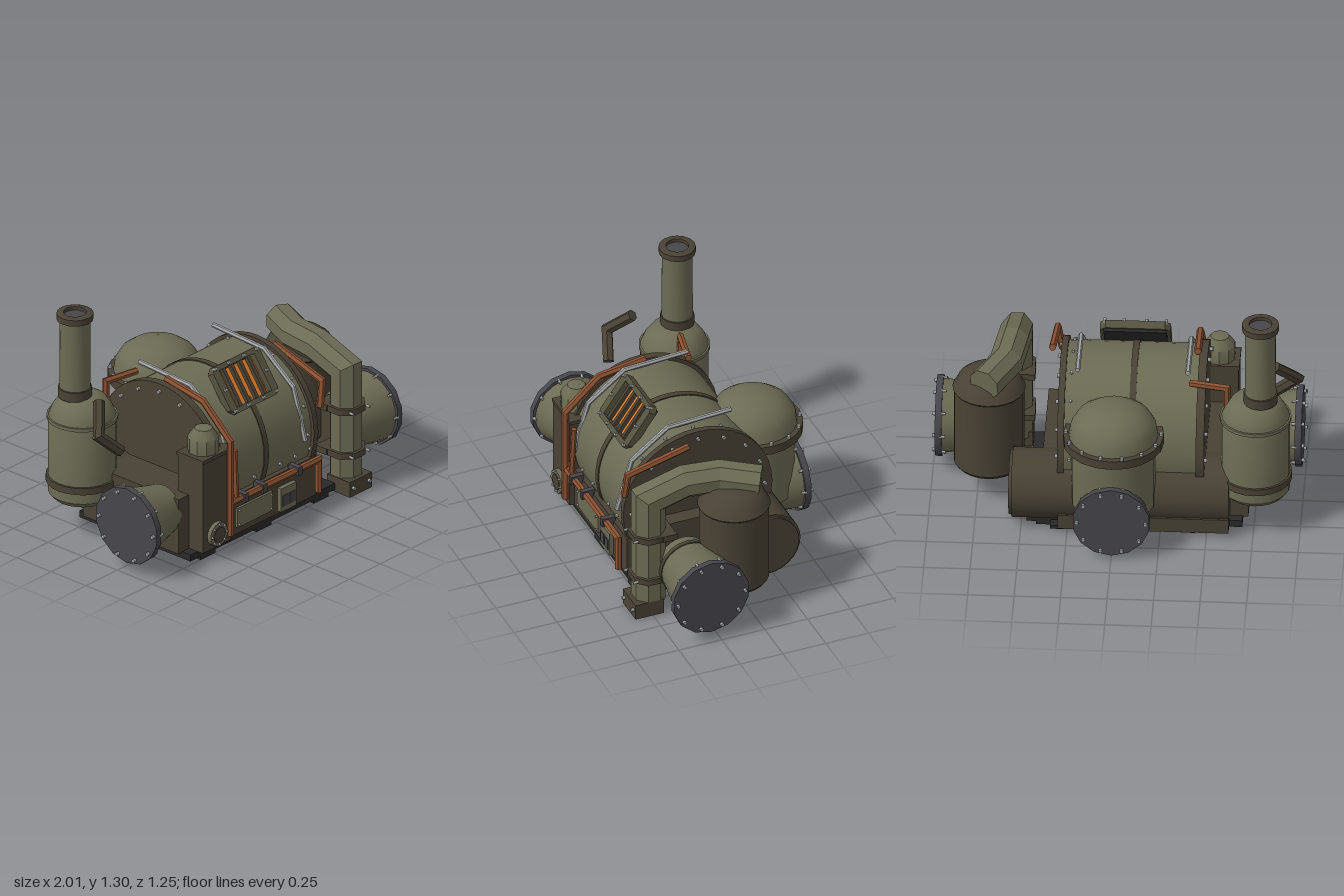
import * as THREE from 'three';
import { mergeGeometries, toCreasedNormals } from 'three/addons/utils/BufferGeometryUtils.js';

const paint = (name, color) => Object.assign(new THREE.MeshStandardMaterial({ color }), { name });
const V = (x, y, z) => new THREE.Vector3(x, y, z);

export function createModel() {
  const root = new THREE.Group();
  root.name = 'steamBoiler';
  const olive = paint('olive', 0x6c6b54), brown = paint('darkBrown', 0x494235), steel = paint('darkSteel', 0x46464c);
  const black = paint('black', 0x2a2a2a), copper = paint('copper', 0x8a5030), glow = paint('glowOrange', 0xe87d28);
  const grey = paint('lightGrey', 0xa2a4a6), drab = paint('drab', 0x55523f);

  const add = (name, geo, mat, x = 0, y = 0, z = 0, parent = root) => {
    const m = new THREE.Mesh(geo, mat);
    m.name = name;
    m.position.set(x, y, z);
    parent.add(m);
    return m;
  };
  // box given by its min and max corners
  const box = (name, mat, x0, x1, y0, y1, z0, z1, parent = root) =>
    add(name, new THREE.BoxGeometry(x1 - x0, y1 - y0, z1 - z0), mat, (x0 + x1) / 2, (y0 + y1) / 2, (z0 + z1) / 2, parent);
  const cylX = (name, mat, r, x0, x1, y, z, seg = 32) =>
    add(name, new THREE.CylinderGeometry(r, r, x1 - x0, seg).rotateZ(-Math.PI / 2), mat, (x0 + x1) / 2, y, z);
  const lathe = (name, mat, profile, x, z, seg = 24) =>
    add(name, toCreasedNormals(new THREE.LatheGeometry(profile.map(p => new THREE.Vector2(...p)), seg), 0.6), mat, x, 0, z);

  // mitred pipe: a ring slid along each straight run to the next joint plane
  function pipe(name, mat, pts, r, sides = 6) {
    const P = pts.map(p => V(...p));
    const dirs = P.slice(1).map((p, i) => p.clone().sub(P[i]).normalize());
    const n0 = Math.abs(dirs[0].y) > 0.8 ? V(0, 0, 1) : V(0, 1, 0);
    const b = dirs[0].clone().cross(n0).normalize(), n = b.clone().cross(dirs[0]);
    let ring = Array.from({ length: sides }, (_, j) => {
      const a = (j + 0.5) / sides * Math.PI * 2;
      return P[0].clone().addScaledVector(n, r * Math.cos(a)).addScaledVector(b, r * Math.sin(a));
    });
    const pos = [], tri = (...v) => v.forEach(p => pos.push(p.x, p.y, p.z));
    const first = ring;
    dirs.forEach((d, i) => {
      const m = d.clone().add(dirs[i + 1] || d).normalize();
      const next = ring.map(p => p.clone().addScaledVector(d, P[i + 1].clone().sub(p).dot(m) / d.dot(m)));
      for (let j = 0; j < sides; j++) {
        const k = (j + 1) % sides;
        tri(ring[j], ring[k], next[j]);
        tri(ring[k], next[k], next[j]);
      }
      ring = next;
    });
    for (let j = 0; j < sides; j++) {
      const k = (j + 1) % sides;
      tri(P[0], first[k], first[j]);
      tri(P[P.length - 1], ring[j], ring[k]);
    }
    const g = new THREE.BufferGeometry();
    g.setAttribute('position', new THREE.Float32BufferAttribute(pos, 3));
    g.computeVertexNormals();
    return add(name, g, mat);
  }

  // bolt heads merged into one mesh, all facing dir (or a direction per bolt)
  function bolts(name, pts, dir, parent = root, r = 0.011) {
    const parts = pts.map((p, i) => {
      const q = new THREE.Quaternion().setFromUnitVectors(V(0, 1, 0), Array.isArray(dir) ? dir[i] : dir);
      return new THREE.CylinderGeometry(r, r, 0.03, 6).applyQuaternion(q).translate(p.x, p.y, p.z);
    });
    add(name, mergeGeometries(parts), grey, 0, 0, 0, parent);
  }
  const circle = (n, f) => Array.from({ length: n }, (_, i) => f(Math.cos(i / n * Math.PI * 2), Math.sin(i / n * Math.PI * 2)));

  // boiler barrel, end plates and centre strap
  const BY = 0.44, BZ = 0.095;
  cylX('boilerBarrel', olive, 0.415, -0.45, 0.28, BY, BZ, 48);
  cylX('boilerStrap', brown, 0.421, -0.112, -0.077, BY, BZ, 48);
  for (const [x0, x1] of [[-0.485, -0.44], [0.27, 0.305]]) {
    cylX('endPlate', brown, 0.435, x0, x1, BY, BZ, 40);
    const side = Math.sign(x0), x = side > 0 ? x1 : x0;
    bolts('endPlateBolts', circle(16, (c, s) => V(x, BY + 0.39 * s, BZ + 0.39 * c)), V(side, 0, 0));
    const edge = circle(16, (c, s) => V(0, s, c));
    bolts('barrelEdgeBolts', edge.map(e => V(x0 + side * -0.03, BY, BZ).addScaledVector(e, 0.415)), edge, root, 0.009);
  }

  // base, skids and lower housing
  box('basePlate', black, -0.69, 0.47, 0.02, 0.06, -0.3, 0.5);
  for (const x of [-0.55, -0.1, 0.36]) box('skid', black, x - 0.06, x + 0.06, 0, 0.03, -0.3, 0.5);
  box('lowerHousing', brown, -0.72, 0.39, 0.055, 0.38, -0.25, 0.44);
  box('frontApron', brown, -0.42, 0.31, 0.055, 0.29, 0.4, 0.51);
  cylX('rearDrum', brown, 0.19, -0.62, 0.55, 0.21, -0.21, 28);
  cylX('rearDrumCap', brown, 0.175, 0.55, 0.565, 0.21, -0.21, 28);
  box('rearSill', brown, -0.62, 0.3, 0.035, 0.12, -0.39, -0.2);
  for (const x of [-0.4, -0.05, 0.3]) box('sillFoot', black, x - 0.04, x + 0.04, 0.02, 0.04, -0.37, -0.31);
  box('namelessPlate', olive, -0.34, -0.055, 0.1, 0.215, 0.51, 0.525);
  bolts('plateBolts', [-0.325, -0.07].flatMap(x => [0.115, 0.2].map(y => V(x, y, 0.52))), V(0, 0, 1), root, 0.007);
  box('switchPanel', olive, 0, 0.125, 0.07, 0.21, 0.51, 0.535);
  for (const x of [0.035, 0.09]) box('switchWindow', steel, x - 0.023, x + 0.023, 0.1, 0.165, 0.533, 0.539);
  bolts('apronBolts', [-0.32, -0.18, 0.03, 0.15, 0.27].map(x => V(x, 0.34, 0.495)), V(0, 0, 1));

  // tall control cabinet with pot cap and round port
  box('cabinet', brown, -0.635, -0.41, 0.06, 0.605, 0.36, 0.54);
  box('cabinetLid', brown, -0.64, -0.39, 0.595, 0.615, 0.355, 0.545);
  lathe('cabinetPot', olive, [[0.085, 0.61], [0.085, 0.7], [0.05, 0.75], [0, 0.762]], -0.53, 0.45, 10);
  const port = add('roundPort', new THREE.CylinderGeometry(0.07, 0.07, 0.03, 14), olive, -0.53, 0.145, 0.55);
  port.rotation.x = Math.PI / 2;
  const portFace = add('portFace', new THREE.CylinderGeometry(0.045, 0.045, 0.006, 14), brown, -0.53, 0.145, 0.567);
  portFace.rotation.x = Math.PI / 2;
  bolts('portBolts', circle(8, (c, s) => V(-0.53 + 0.058 * c, 0.145 + 0.058 * s, 0.56)), V(0, 0, 1), root, 0.007);

  // bolted outlets on both sides and the back
  function outlet(name, x, y, z, turn, r, len, r0) {
    const g = new THREE.Group();
    g.name = name;
    const horn = [[r0, -len], [r0 + (r - r0) * 0.35, -len * 0.5], [r * 0.92, 0]].map(p => new THREE.Vector2(...p));
    add('horn', new THREE.LatheGeometry(horn, 24).rotateX(Math.PI / 2), olive, 0, 0, 0, g);
    add('flange', new THREE.CylinderGeometry(r, r, 0.036, 14).rotateX(Math.PI / 2), steel, 0, 0, 0.018, g);
    bolts('flangeBolts', circle(10, (c, s) => V(c * r * 0.88, s * r * 0.88, 0.036)), V(0, 0, 1), g);
    bolts('flangeNuts', circle(10, (c, s) => V(c * r * 0.95, s * r * 0.95, -0.005)), V(0, 0, 1), g, 0.008);
    g.position.set(x, y, z);
    g.rotation.y = turn;
    root.add(g);
  }
  outlet('leftOutlet', 0.95, 0.28, 0.305, Math.PI / 2, 0.222, 0.36, 0.145);
  outlet('rightOutlet', -0.95, 0.28, 0.305, -Math.PI / 2, 0.222, 0.26, 0.135);
  outlet('rearOutlet', 0, 0.23, -0.575, Math.PI, 0.21, 0.3, 0.16);
  cylX('leftOutletCollar', brown, 0.165, 0.655, 0.68, 0.28, 0.305, 20);

  // rear domed tank
  lathe('domeTank', olive, [[0, 0.21], [0.225, 0.21], [0.225, 0.59]], 0, -0.355);
  lathe('domeTankFlange', brown, [[0.2, 0.585], [0.272, 0.585], [0.272, 0.635], [0.2, 0.635]], 0, -0.355, 20);
  lathe('dome', olive, [[0.24, 0.635], [0.232, 0.69], [0.2, 0.745], [0.145, 0.785], [0.07, 0.808], [0, 0.812]], 0, -0.355);
  bolts('domeBolts', circle(14, (c, s) => V(0.257 * c, 0.635, -0.355 + 0.257 * s)), V(0, 1, 0));

  // chimney tank
  lathe('chimneyTank', olive, [[0, 0.2], [0.16, 0.21], [0.185, 0.24], [0.185, 0.69], [0.165, 0.74], [0.13, 0.79], [0.08, 0.81], [0, 0.81]], -0.757, -0.22);
  lathe('chimneyTankBand', brown, [[0.18, 0.3], [0.197, 0.3], [0.197, 0.34], [0.18, 0.34]], -0.757, -0.22);
  lathe('chimneyTankSeam', olive, [[0.18, 0.675], [0.193, 0.675], [0.193, 0.695], [0.18, 0.695]], -0.757, -0.22);
  const CX = -0.785, CZ = -0.248;
  lathe('chimneyStack', olive, [[0.085, 0.8], [0.083, 1.28]], CX, CZ);
  lathe('chimneyFoot', brown, [[0.075, 0.8], [0.092, 0.805], [0.092, 0.86], [0.075, 0.865]], CX, CZ, 16);
  lathe('chimneyRim', brown, [[0.08, 1.265], [0.1, 1.265], [0.1, 1.3], [0.085, 1.305], [0.062, 1.305], [0.062, 1.28]], CX, CZ, 16);
  add('chimneyHole', new THREE.CylinderGeometry(0.064, 0.064, 0.006, 16), steel, CX, 1.282, CZ);

  // brown side tank and the big faceted pipe feeding it
  lathe('sideTank', brown, [[0, 0.165], [0.175, 0.165], [0.19, 0.185], [0.19, 0.64], [0.197, 0.65], [0.187, 0.665], [0.165, 0.71], [0.12, 0.745], [0, 0.757]], 0.69, 0.048);
  pipe('mainPipe', olive, [[0.565, 0.06, 0.495], [0.565, 0.71, 0.495], [0.575, 0.775, 0.29], [0.6, 0.775, 0.1], [0.71, 0.755, -0.1]], 0.092, 8);
  box('pipeFoot', brown, 0.475, 0.65, 0.005, 0.095, 0.44, 0.605);
  bolts('pipeFootBolts', [0.5, 0.625].map(x => V(x, 0.055, 0.605)), V(0, 0, 1));
  for (const y of [0.232, 0.495]) {
    add('pipeClamp', new THREE.CylinderGeometry(0.11, 0.11, 0.036, 8).rotateY(Math.PI / 8), brown, 0.565, y, 0.495);
    box('clampBracket', brown, 0.46, 0.67, y - 0.018, y + 0.018, 0.37, 0.45);
    bolts('clampBolts', [0.5, 0.63].map(x => V(x, y, 0.595)), V(0, 0, 1), root, 0.008);
  }

  // glowing grille, tilted on the barrel
  const grille = new THREE.Group();
  grille.name = 'grille';
  grille.position.set(-0.085, 0.82, 0.335);
  grille.rotation.x = -0.62;
  root.add(grille);
  const frame = new THREE.Shape([[-0.16, -0.14], [0.16, -0.14], [0.19, -0.11], [0.19, 0.11], [0.16, 0.14], [-0.16, 0.14], [-0.19, 0.11], [-0.19, -0.11]].map(p => new THREE.Vector2(...p)));
  frame.holes.push(new THREE.Path([[-0.14, -0.11], [-0.14, 0.11], [0.14, 0.11], [0.14, -0.11]].map(p => new THREE.Vector2(...p))));
  add('grilleFrame', new THREE.ExtrudeGeometry(frame, { depth: 0.045, bevelEnabled: false }), drab, 0, 0, -0.02, grille);
  box('grilleBack', black, -0.17, 0.17, -0.125, 0.125, -0.035, -0.015, grille);
  box('grilleGlow', glow, -0.135, 0.135, -0.105, 0.105, -0.013, -0.005, grille);
  for (let i = 0; i < 4; i++) box('grilleSlat', brown, -0.11 + i * 0.066, -0.088 + i * 0.066, -0.11, 0.11, -0.005, 0.018, grille);
  bolts('grilleBolts', [-0.165, -0.06, 0.06, 0.165].flatMap(x => [-0.125, 0.125].map(y => V(x, y, 0.025)))
    .concat([-0.165, 0.165].map(x => V(x, 0, 0.025))), V(0, 0, 1), grille, 0.009);

  // copper plumbing
  pipe('copperFeed', copper, [[-0.42, 0.29, 0.55], [0.285, 0.29, 0.55], [0.285, 0.095, 0.55]], 0.02);
  pipe('copperRiser', copper, [[-0.43, 0.1, 0.555], [-0.43, 0.66, 0.555], [-0.43, 0.84, 0.36], [-0.43, 0.885, 0.09]], 0.02);
  pipe('copperBranch', copper, [[-0.37, 0.29, 0.545], [-0.37, 0.58, 0.53]], 0.016);
  pipe('copperSide', copper, [[0.32, 0.585, 0.53], [0.345, 0.73, 0.52], [0.355, 0.83, 0.17]], 0.02);
  pipe('copperLink', copper, [[-0.6, 0.74, -0.19], [-0.6, 0.84, -0.19], [-0.4, 0.84, -0.15]], 0.02);
  for (const x of [-0.32, -0.17, 0.11]) box('pipeClip', steel, x - 0.015, x + 0.015, 0.265, 0.315, 0.5, 0.575);

  // handrails and the loose elbow pipe
  for (const x of [-0.388, 0.205])
    pipe('handrail', grey, [[x, 0.895, -0.14], [x, 0.875, 0.23], [x, 0.715, 0.44], [x, 0.42, 0.525]], 0.014);
  pipe('elbowPipe', brown, [[-0.85, 0.87, -0.015], [-0.965, 0.735, 0.085], [-0.84, 0.615, 0.13]], 0.032);
  return root;
}
